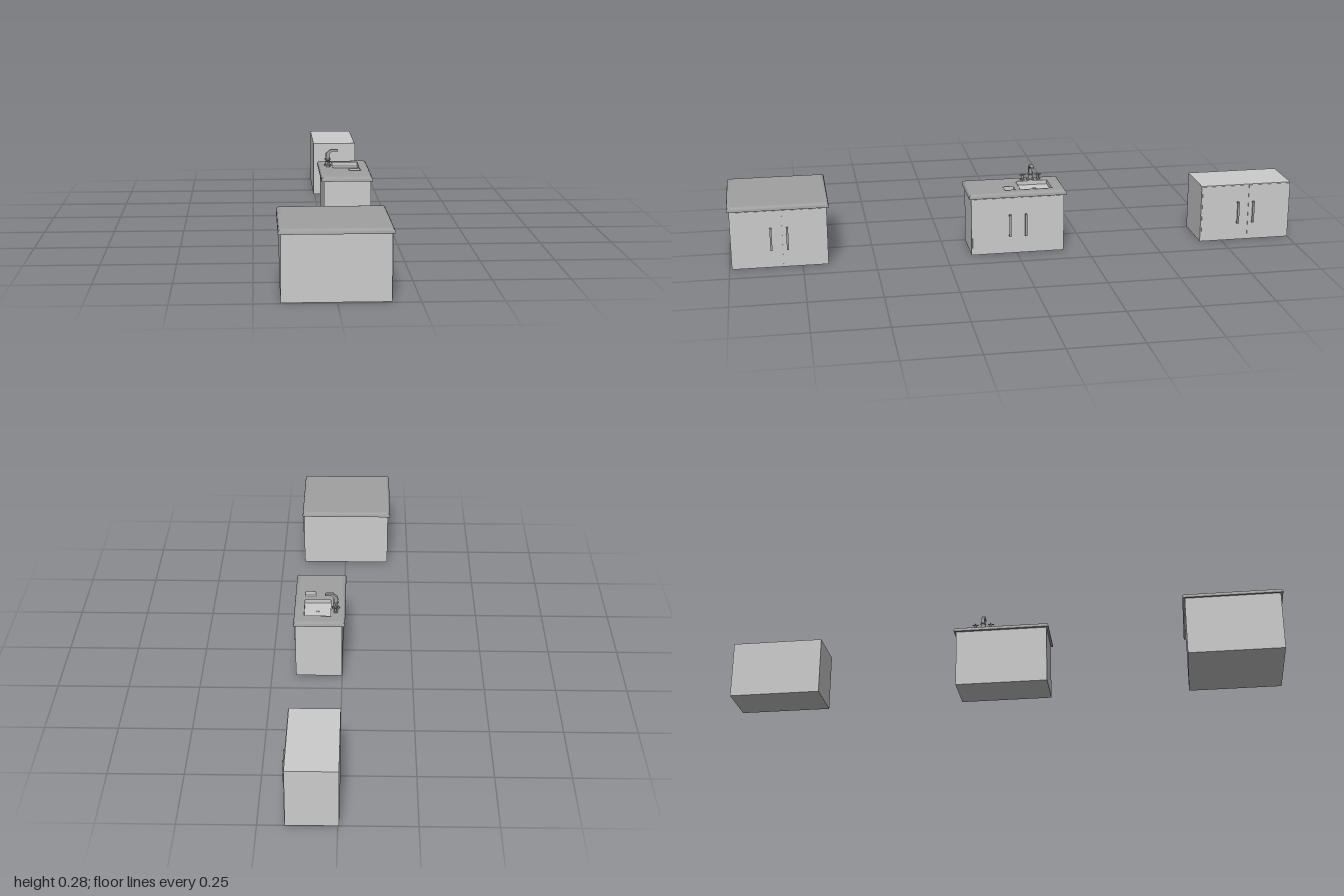
import * as THREE from 'three';
import { toCreasedNormals } from 'three/addons/utils/BufferGeometryUtils.js';

const light = new THREE.MeshStandardMaterial({ color: 0xcccccc });
const dark = new THREE.MeshStandardMaterial({ color: 0xa0a0a0 });
const pale = new THREE.MeshStandardMaterial({ color: 0xe4e4e4 });

function add(parent, name, geometry, material, x = 0, y = 0, z = 0) {
  const mesh = new THREE.Mesh(geometry, material);
  mesh.name = name;
  mesh.position.set(x, y, z);
  parent.add(mesh);
  return mesh;
}

// Box given by its minimum and maximum corners
function box(parent, name, material, [x0, y0, z0], [x1, y1, z1]) {
  return add(parent, name, new THREE.BoxGeometry(x1 - x0, y1 - y0, z1 - z0), material,
    (x0 + x1) / 2, (y0 + y1) / 2, (z0 + z1) / 2);
}

function cylinder(parent, name, material, r, h, x, y, z, sides = 16) {
  return add(parent, name, new THREE.CylinderGeometry(r, r, h, sides), material, x, y, z);
}

const FRONT = 0.163, HALF = 0.165, HEIGHT = 0.208;

// Two-door cabinet facing +x, centred on z = 0
function makeCabinet(name, backX) {
  const cabinet = new THREE.Group();
  cabinet.name = name;
  box(cabinet, 'carcass', light, [backX, 0, -HALF], [FRONT, HEIGHT, HALF]);
  for (const s of [-1, 1]) {
    const a = s * 0.011, b = s * 0.161;
    box(cabinet, 'door', light, [FRONT, 0.009, Math.min(a, b)], [FRONT + 0.002, 0.205, Math.max(a, b)]);
    const z = s * 0.028, w = 0.0035;
    const handle = new THREE.Group();
    handle.name = 'handle';
    box(handle, 'handleBar', dark, [0.170, 0.064, z - w], [0.175, 0.144, z + w]);
    for (const y of [0.064, 0.138])
      box(handle, 'handlePost', dark, [0.165, y, z - w], [0.171, y + 0.006, z + w]);
    cabinet.add(handle);
  }
  return cabinet;
}

// Worktop with a rounded mitred edge; holes are [x0, x1, z0, z1]
function makeWorktop(parent, x0, x1, z0, z1, holes = []) {
  const top = 0.224;
  const profile = [[0.012, HEIGHT], [0, HEIGHT], [0, 0.212]];
  for (let i = 1; i <= 5; i++) {
    const a = (i / 5) * Math.PI / 2;
    profile.push([0.014 * (1 - Math.cos(a)), 0.212 + 0.012 * Math.sin(a)]);
  }
  const ring = ([d, y]) => [
    [x0 + d, y, z0 + d], [x0 + d, y, z1 - d], [x1 - d, y, z1 - d], [x1 - d, y, z0 + d]];
  const pos = [];
  for (let i = 0; i < profile.length - 1; i++) {
    const low = ring(profile[i]), high = ring(profile[i + 1]);
    for (let k = 0; k < 4; k++) {
      const n = (k + 1) % 4;
      pos.push(...low[k], ...low[n], ...high[n], ...low[k], ...high[n], ...high[k]);
    }
  }
  const edge = new THREE.BufferGeometry();
  edge.setAttribute('position', new THREE.Float32BufferAttribute(pos, 3));
  add(parent, 'worktopEdge', toCreasedNormals(edge, 0.7), dark);

  // Flat top with its cut-outs
  const rect = (path, a, b, c, d) =>
    path.moveTo(a, -c).lineTo(b, -c).lineTo(b, -d).lineTo(a, -d).closePath();
  const shape = new THREE.Shape();
  rect(shape, x0 + 0.014, x1 - 0.014, z0 + 0.014, z1 - 0.014);
  for (const h of holes) {
    const path = new THREE.Path();
    rect(path, ...h);
    shape.holes.push(path);
  }
  const slab = new THREE.ExtrudeGeometry(shape, { depth: top - HEIGHT, bevelEnabled: false });
  slab.rotateX(-Math.PI / 2);
  add(parent, 'worktop', slab, dark, 0, HEIGHT, 0);
}

// Basin floor, raised rim and drain inside a cut-out
function makeBasin(parent, [x0, x1, z0, z1], drainX, drainZ, drainR) {
  const basin = new THREE.Group();
  basin.name = 'basin';
  box(basin, 'basinFloor', pale, [x0, HEIGHT, z0], [x1, 0.21, z1]);
  const r = 0.002, y0 = 0.21, y1 = 0.225;
  for (const x of [x0, x1 - r]) box(basin, 'basinSide', pale, [x, y0, z0], [x + r, y1, z1]);
  for (const z of [z0, z1 - r]) box(basin, 'basinSide', pale, [x0, y0, z], [x1, y1, z + r]);
  cylinder(basin, 'drain', dark, drainR, 0.002, drainX, 0.2108, drainZ);
  parent.add(basin);
}

// Angled spout with a cross-handled tap on either side
function makeFaucet() {
  const faucet = new THREE.Group();
  faucet.name = 'faucet';
  cylinder(faucet, 'faucetBase', dark, 0.014, 0.003, 0, 0.2255, 0);
  cylinder(faucet, 'faucetColumn', dark, 0.008, 0.03, 0, 0.239, 0);
  const collar = add(faucet, 'faucetCollar', new THREE.TorusGeometry(0.008, 0.0028, 8, 16), dark, 0, 0.246, 0);
  collar.rotation.x = Math.PI / 2;

  const spout = new THREE.Shape();
  [[-0.007, 0.25], [0.007, 0.25], [0.007, 0.266], [0.016, 0.276], [0.038, 0.275],
    [0.038, 0.28], [0.032, 0.283], [0.010, 0.283], [-0.007, 0.268]]
    .forEach(([x, y], i) => (i ? spout.lineTo(x, y) : spout.moveTo(x, y)));
  const spoutGeo = new THREE.ExtrudeGeometry(spout, { depth: 0.012, bevelEnabled: false });
  add(faucet, 'spout', spoutGeo, dark, 0, 0, -0.006);

  for (const s of [-1, 1]) {
    const z = s * 0.028;
    cylinder(faucet, 'tapBase', dark, 0.008, 0.003, 0, 0.2255, z);
    cylinder(faucet, 'tapStem', dark, 0.004, 0.02, 0, 0.235, z);
    for (const turn of [0, Math.PI / 2]) {
      const bar = add(faucet, 'tapHandle', new THREE.CylinderGeometry(0.002, 0.002, 0.022, 8), dark, 0, 0.243, z);
      bar.rotation.set(Math.PI / 2, 0, turn);
    }
  }
  return faucet;
}

export function createModel() {
  const model = new THREE.Group();
  model.name = 'kitchenCabinets';

  // Deep unit with a plain worktop
  const deep = makeCabinet('deepCabinet', -0.168);
  makeWorktop(deep, -0.176, 0.171, -0.173, 0.173);
  deep.position.z = 0.827;

  // Sink unit with a large and a small basin
  const sink = makeCabinet('sinkCabinet', 0);
  const large = [0.04, 0.137, -0.128, -0.012], small = [0.095, 0.137, 0.003, 0.043];
  makeWorktop(sink, -0.01, 0.171, -0.173, 0.173, [large, small]);
  makeBasin(sink, large, 0.088, -0.072, 0.006);
  makeBasin(sink, small, 0.117, 0.023, 0.005);
  const faucet = makeFaucet();
  faucet.position.set(0.024, 0, -0.069);
  sink.add(faucet);
  sink.position.z = -0.003;

  // Plain unit without a worktop
  const plain = makeCabinet('plainCabinet', -0.004);
  plain.position.z = -0.835;

  // Cross handles lie flat: one bar along x, one along z
  sink.traverse((o) => {
    if (o.name === 'tapHandle' && o.rotation.z) o.rotation.set(0, 0, Math.PI / 2);
  });

  model.add(deep, sink, plain);
  return model;
}
